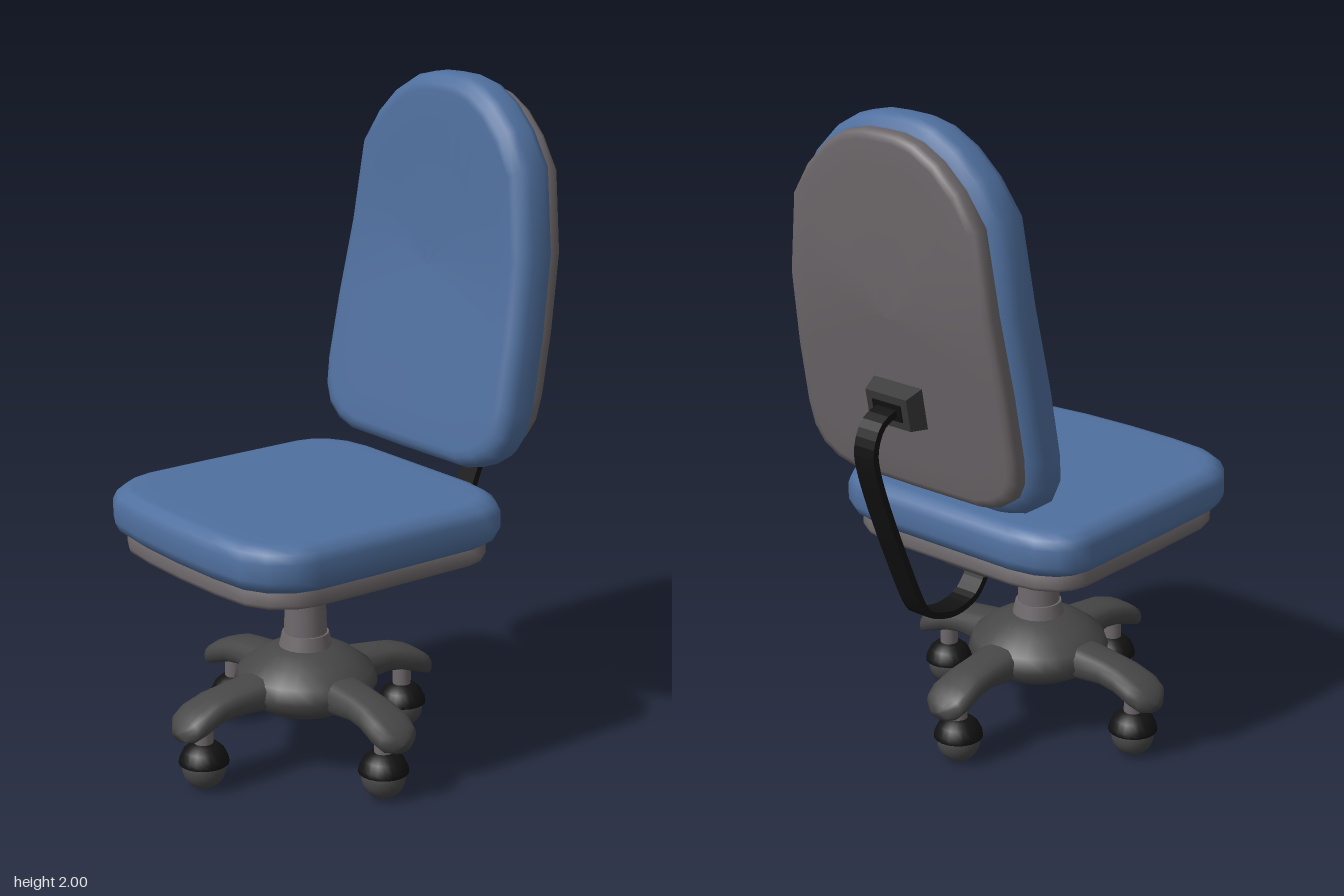
import * as THREE from 'three';

const material = (name, color) => {
  const m = new THREE.MeshStandardMaterial({ color });
  m.name = name;
  return m;
};

// Skin a list of closed rings (each an array of [x, y, z]) into one smooth surface
function loft(rings) {
  const n = rings[0].length, index = [];
  for (let j = 0; j < rings.length - 1; j++) {
    for (let i = 0; i < n; i++) {
      const k = (i + 1) % n;
      const a = j * n + i, b = (j + 1) * n + i, c = (j + 1) * n + k, d = j * n + k;
      index.push(a, b, c, a, c, d);
    }
  }
  const g = new THREE.BufferGeometry();
  g.setAttribute('position', new THREE.Float32BufferAttribute(rings.flat(2), 3));
  g.setIndex(index);
  g.computeVertexNormals();
  return g;
}

// Upholstered slab: mirrored half outline, edge profile of [inset, depth], optional bend of z by y
function pad(half, profile, bend = () => 0) {
  const outline = [...half, ...half.slice(1, -1).reverse().map(([x, y]) => [-x, y])];
  const y0 = half[0][1], y1 = half[half.length - 1][1];
  const cy = (y0 + y1) / 2, hh = (y1 - y0) / 2;
  const hw = Math.max(...half.map((p) => p[0]));
  const ring = (s, [inset, depth]) => outline.map(([px, py]) => {
    const x = px * s * (1 - inset / hw);
    const y = cy + (py - cy) * s * (1 - inset / hh);
    return [x, y, bend(y) - depth];
  });
  const first = profile[0], last = profile[profile.length - 1];
  return loft([
    ...[0, 0.3, 0.6, 0.85].map((s) => ring(s, first)),
    ...profile.map((p) => ring(1, p)),
    ...[0.85, 0.6, 0.3, 0].map((s) => ring(s, last)),
  ]);
}

// Block whose +y face is smaller than its base
function taperedBlock(w, h, d, taper) {
  const g = new THREE.BoxGeometry(w, h, d);
  const p = g.attributes.position;
  for (let i = 0; i < p.count; i++) {
    if (p.getY(i) > 0) p.setXYZ(i, p.getX(i) - Math.sign(p.getX(i)) * taper, p.getY(i), p.getZ(i) - Math.sign(p.getZ(i)) * taper);
  }
  g.computeVertexNormals();
  return g;
}

export function createModel() {
  const blue = material('blue fabric', 0x50709f);
  const grey = material('warm grey plastic', 0x6e686b);
  const dark = material('dark grey plastic', 0x474747);
  const bracketGrey = material('bracket grey', 0x3a3a3a);
  const black = material('black', 0x121212);

  const chair = new THREE.Group();
  chair.name = 'officeChair';
  const add = (name, geometry, mat, x = 0, y = 0, z = 0, parent = chair) => {
    const mesh = new THREE.Mesh(geometry, mat);
    mesh.name = name;
    mesh.position.set(x, y, z);
    parent.add(mesh);
    return mesh;
  };
  const cyl = (top, bottom, h, sides = 20) => new THREE.CylinderGeometry(top, bottom, h, sides);
  const lathe = (pts, sides = 24) => new THREE.LatheGeometry(pts.map((p) => new THREE.Vector2(...p)), sides);

  // Seat: outline runs from the front edge round to the back edge
  const seatHalf = [[0, -0.61], [0.18, -0.605], [0.31, -0.59], [0.38, -0.552], [0.428, -0.485], [0.445, -0.42],
    [0.448, -0.2], [0.448, 0.17], [0.435, 0.225], [0.405, 0.265], [0.345, 0.3], [0.26, 0.315], [0, 0.315]];
  const cushionEdge = [[0.05, 0], [0.03, 0.004], [0.01, 0.02], [0, 0.045], [0, 0.095], [0.01, 0.12], [0.03, 0.136], [0.05, 0.14]];
  const panEdge = [[0.045, 0.13], [0.033, 0.14], [0.033, 0.175], [0.037, 0.186], [0.05, 0.19]];
  add('seatCushion', pad(seatHalf, cushionEdge), blue, 0, 0.84).rotation.x = -Math.PI / 2;
  add('seatPan', pad(seatHalf, panEdge), grey, 0, 0.84).rotation.x = -Math.PI / 2;

  // Backrest: leans back, with a change of slope at mid height
  const backHalf = [[0, 0.888], [0.26, 0.89], [0.33, 0.908], [0.385, 0.945], [0.415, 1.0], [0.424, 1.08], [0.419, 1.28],
    [0.4, 1.52], [0.363, 1.77], [0.295, 1.868], [0.22, 1.938], [0.14, 1.982], [0.07, 1.998], [0, 2.0]];
  const lean = (y) => (y < 1.5 ? -0.22 - (y - 0.9) * 0.183 : -0.33 - (y - 1.5) * 0.055);
  const shellEdge = [[0.045, 0.125], [0.035, 0.135], [0.035, 0.165], [0.042, 0.18], [0.06, 0.186]];
  add('backCushion', pad(backHalf, cushionEdge, lean), blue);
  add('backShell', pad(backHalf, shellEdge, lean), grey);

  // Flat support bar: offset a side-view curve both ways, then extrude across x
  const path = new THREE.SplineCurve([[0.14, 0.61], [0.155, 0.57], [0.2, 0.525], [0.28, 0.508], [0.36, 0.526], [0.412, 0.565],
    [0.485, 0.73], [0.56, 0.925], [0.597, 1.05], [0.596, 1.11], [0.565, 1.165], [0.5, 1.19]].map((p) => new THREE.Vector2(...p)));
  const side = (offset) => Array.from({ length: 45 }, (_, i) => {
    const t = path.getTangentAt(i / 44);
    return path.getPointAt(i / 44).add(new THREE.Vector2(-t.y, t.x).multiplyScalar(offset));
  });
  const barShape = new THREE.Shape([...side(-0.01), ...side(0.01).reverse()]);
  add('supportBar', new THREE.ExtrudeGeometry(barShape, { depth: 0.074, bevelEnabled: false }), black, -0.037).rotation.y = Math.PI / 2;

  // Brackets holding the bar under the seat and behind the back
  const bracket = (name, w, h, d, y, z, tilt) => {
    const g = new THREE.Group();
    g.name = name;
    add('bracketBody', taperedBlock(w, h, d, 0.014), bracketGrey, 0, 0, 0, g);
    add('bracketSocket', new THREE.BoxGeometry(w * 0.58, 0.008, d * 0.4), black, 0, h / 2, 0, g);
    g.position.set(0, y, z);
    g.rotation.x = tilt;
    chair.add(g);
  };
  bracket('seatBracket', 0.18, 0.046, 0.13, 0.624, -0.145, Math.PI);
  bracket('backBracket', 0.18, 0.055, 0.125, 1.19, -0.485, -Math.PI / 2 - 0.18);

  // Swivel base with gas column
  const base = new THREE.Group();
  base.name = 'base';
  base.position.z = 0.135;
  chair.add(base);
  add('columnCap', cyl(0.08, 0.08, 0.075), dark, 0, 0.6225, 0, base);
  add('columnSleeve', cyl(0.072, 0.068, 0.03), dark, 0, 0.585, 0, base);
  add('column', cyl(0.057, 0.065, 0.22), grey, 0, 0.48, 0, base);
  add('columnRing', cyl(0.07, 0.08, 0.045), grey, 0, 0.375, 0, base);
  add('hub', lathe([[0, 0.143], [0.06, 0.148], [0.13, 0.17], [0.19, 0.205], [0.215, 0.245], [0.2, 0.287],
    [0.15, 0.325], [0.1, 0.352], [0.06, 0.362], [0, 0.364]]), dark, 0, 0, 0, base);

  // Leg cross-sections: reach, centre height, half height, half width
  const sections = [[0.08, 0.26, 0.05, 0.07], [0.2, 0.25, 0.05, 0.07], [0.28, 0.249, 0.041, 0.064], [0.34, 0.24, 0.04, 0.068],
    [0.4, 0.218, 0.04, 0.074], [0.435, 0.2, 0.035, 0.066], [0.455, 0.19, 0.024, 0.036], [0.462, 0.188, 0.001, 0.001]];
  const legGeometry = loft(sections.map(([r, yc, hh, hw]) => Array.from({ length: 16 }, (_, i) => {
    const a = (i / 16) * Math.PI * 2, c = Math.cos(a), s = Math.sin(a);
    const soft = (v) => Math.sign(v) * Math.abs(v) ** 0.75;
    return [r, yc + hh * soft(s), hw * soft(c)];
  })));
  const stemGeometry = cyl(0.028, 0.028, 0.1, 14);
  const hoodGeometry = lathe([[0, 0.078], [0.066, 0.078], [0.074, 0.08], [0.072, 0.095], [0.06, 0.12], [0.042, 0.136], [0.02, 0.143], [0, 0.144]], 20);
  const ballGeometry = new THREE.SphereGeometry(0.065, 20, 14);

  // Four legs, each with a ball caster
  for (let i = 0; i < 4; i++) {
    const arm = new THREE.Group();
    arm.name = 'legWithCaster';
    arm.rotation.y = (i * Math.PI) / 2;
    add('leg', legGeometry, dark, 0, 0, 0, arm);
    add('casterStem', stemGeometry, grey, 0.37, 0.17, 0, arm);
    add('casterHood', hoodGeometry, black, 0.37, 0, 0, arm);
    add('casterBall', ballGeometry, dark, 0.37, 0.065, 0, arm);
    base.add(arm);
  }
  return chair;
}
